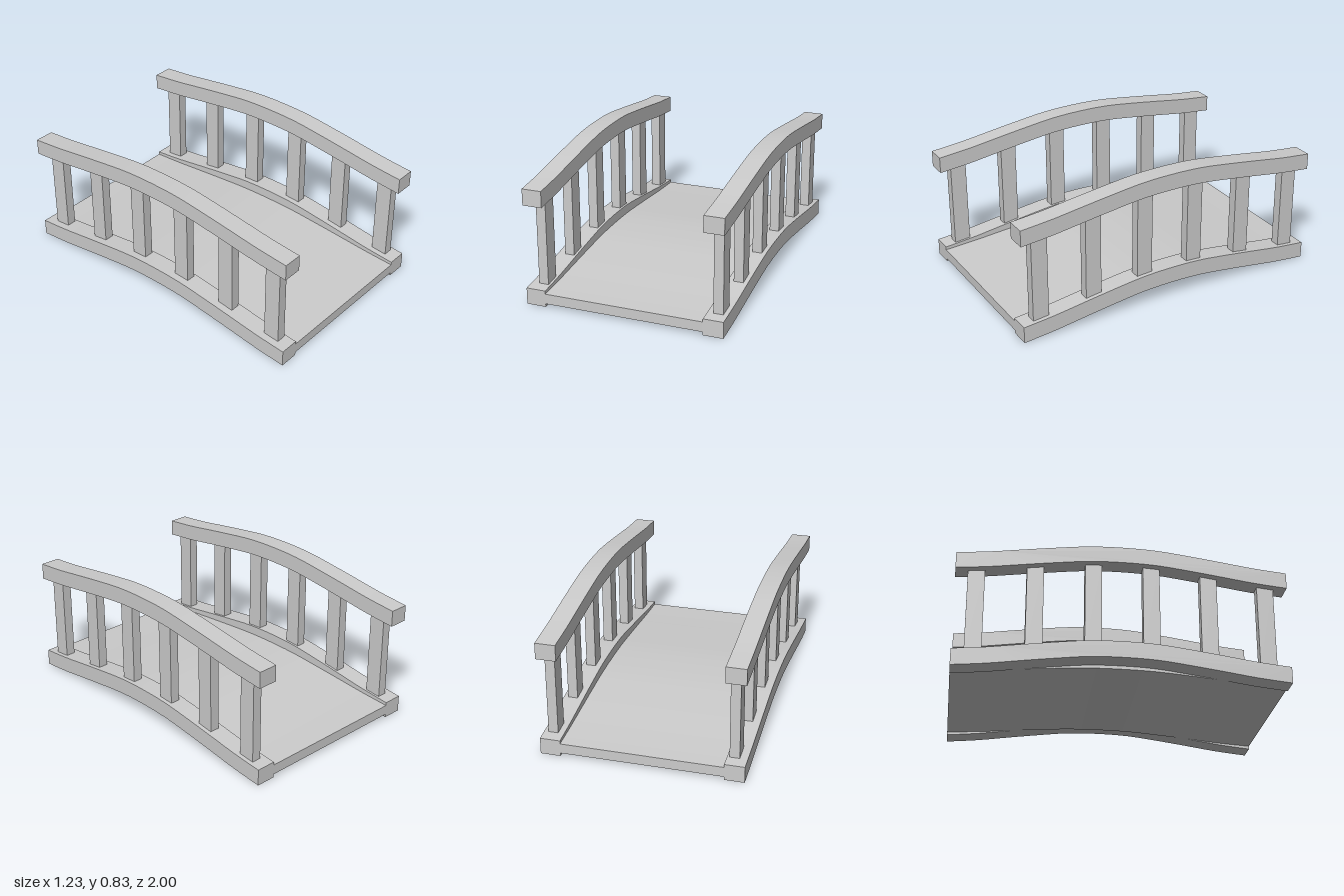
import * as THREE from 'three';
import { toCreasedNormals } from 'three/addons/utils/BufferGeometryUtils.js';

// Share of the full rise at evenly spaced stations from one end to the other
const half = [0, 0.19, 0.46, 0.72, 0.94];
const stations = [...half, 1, ...half.slice().reverse()];
const curve = new THREE.SplineCurve(stations.map((f, i) => new THREE.Vector2(-1 + i * 0.2, f)));
const profile = curve.getPoints(30);

// Height share of the arch at position z
function archAt(z) {
  const i = profile.findIndex((p) => p.x >= z);
  if (i <= 0) return 0;
  const a = profile[i - 1], b = profile[i];
  return THREE.MathUtils.lerp(a.y, b.y, (z - a.x) / (b.x - a.x));
}

export function createModel() {
  const model = new THREE.Group();
  const material = new THREE.MeshStandardMaterial({ color: 0xcccccc });

  const add = (name, geometry) => {
    const mesh = new THREE.Mesh(geometry, material);
    mesh.name = name;
    model.add(mesh);
    return mesh;
  };

  // Arched bar running along z, between x0 and x1
  const arch = (name, x0, x1, base, thickness, rise) => {
    const lower = profile.map((p) => new THREE.Vector2(p.x, base + p.y * rise));
    const upper = lower.map((p) => new THREE.Vector2(p.x, p.y + thickness)).reverse();
    const geometry = new THREE.ExtrudeGeometry(new THREE.Shape([...lower, ...upper]), {
      depth: x1 - x0, bevelEnabled: false,
    });
    geometry.rotateY(-Math.PI / 2).translate(x1, 0, 0);
    add(name, toCreasedNormals(geometry, 0.5));
  };

  // Walkway
  arch('deck', -0.495, 0.493, 0.02, 0.063, 0.064);

  // Side beams, handrails and posts
  const sides = [
    { side: 'right', x0: -0.617, x1: -0.495, postX: -0.54 },
    { side: 'left', x0: 0.493, x1: 0.617, postX: 0.56 },
  ];
  for (const { side, x0, x1, postX } of sides) {
    arch(side + 'Beam', x0, x1, 0, 0.103, 0.105);
    arch(side + 'Handrail', x0, x1, 0.628, 0.102, 0.105);
    for (let i = 0; i < 6; i++) {
      const z = -0.875 + i * 0.35;
      const lift = archAt(z) * 0.105;
      const bottom = 0.09 + lift, top = 0.65 + lift;
      const post = add(side + 'Post' + (i + 1), new THREE.BoxGeometry(0.06, top - bottom, 0.102));
      post.position.set(postX, (bottom + top) / 2, z);
    }
  }
  return model;
}
